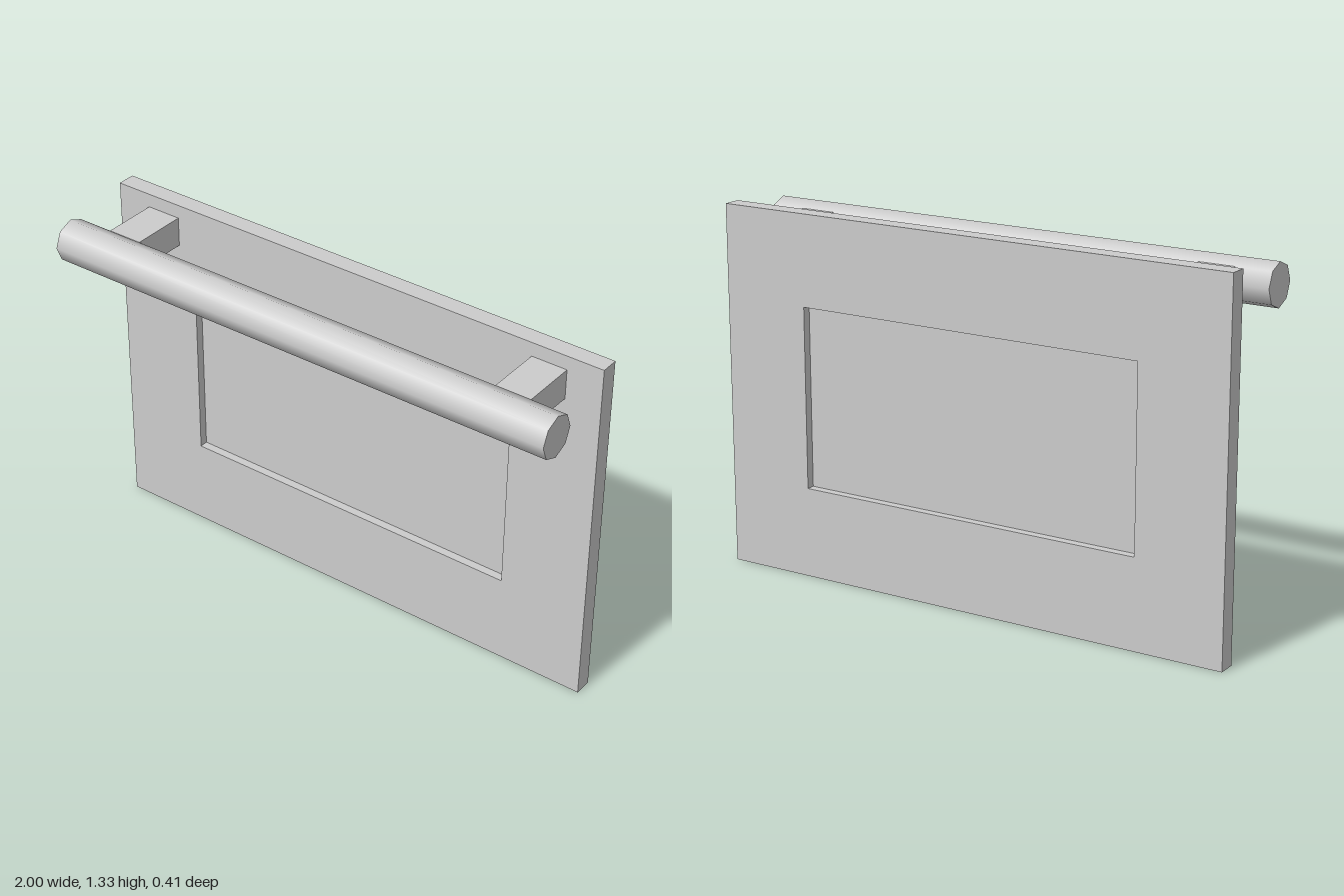
import * as THREE from 'three';

export function createModel() {
  const model = new THREE.Group();
  model.name = 'ovenDoor';
  const grey = new THREE.MeshStandardMaterial({ color: 0xcccccc });

  const add = (name, geometry, x, y, z) => {
    const mesh = new THREE.Mesh(geometry, grey);
    mesh.name = name;
    mesh.position.set(x, y, z);
    model.add(mesh);
    return mesh;
  };

  const rect = (path, x0, y0, x1, y1) =>
    path.moveTo(x0, y0).lineTo(x1, y0).lineTo(x1, y1).lineTo(x0, y1).closePath();

  // Door frame with a window opening
  const back = -0.205, thickness = 0.067;
  const outline = rect(new THREE.Shape(), -1, 0, 1, 1.333);
  outline.holes.push(rect(new THREE.Path(), -0.667, 0.333, 0.667, 1));
  add('doorFrame', new THREE.ExtrudeGeometry(outline, { depth: thickness, bevelEnabled: false }), 0, 0, back);

  // Thin window pane halfway through the frame
  add('windowPane', new THREE.BoxGeometry(1.334, 0.667, 0.004), 0, 0.6665, back + thickness / 2);

  // Eight-sided handle bar across the full width
  const barY = 1.227, barZ = 0.127;
  add('handleBar', new THREE.CylinderGeometry(0.078, 0.078, 2, 8), 0, barY, barZ).rotation.z = Math.PI / 2;

  // Brackets that carry the bar, sunk slightly into it
  const front = back + thickness, bracketEnd = 0.078;
  for (const [side, name] of [[1, 'leftBracket'], [-1, 'rightBracket']]) {
    add(name, new THREE.BoxGeometry(0.133, 0.11, bracketEnd - front), side * 0.8, barY, (bracketEnd + front) / 2);
  }

  return model;
}
